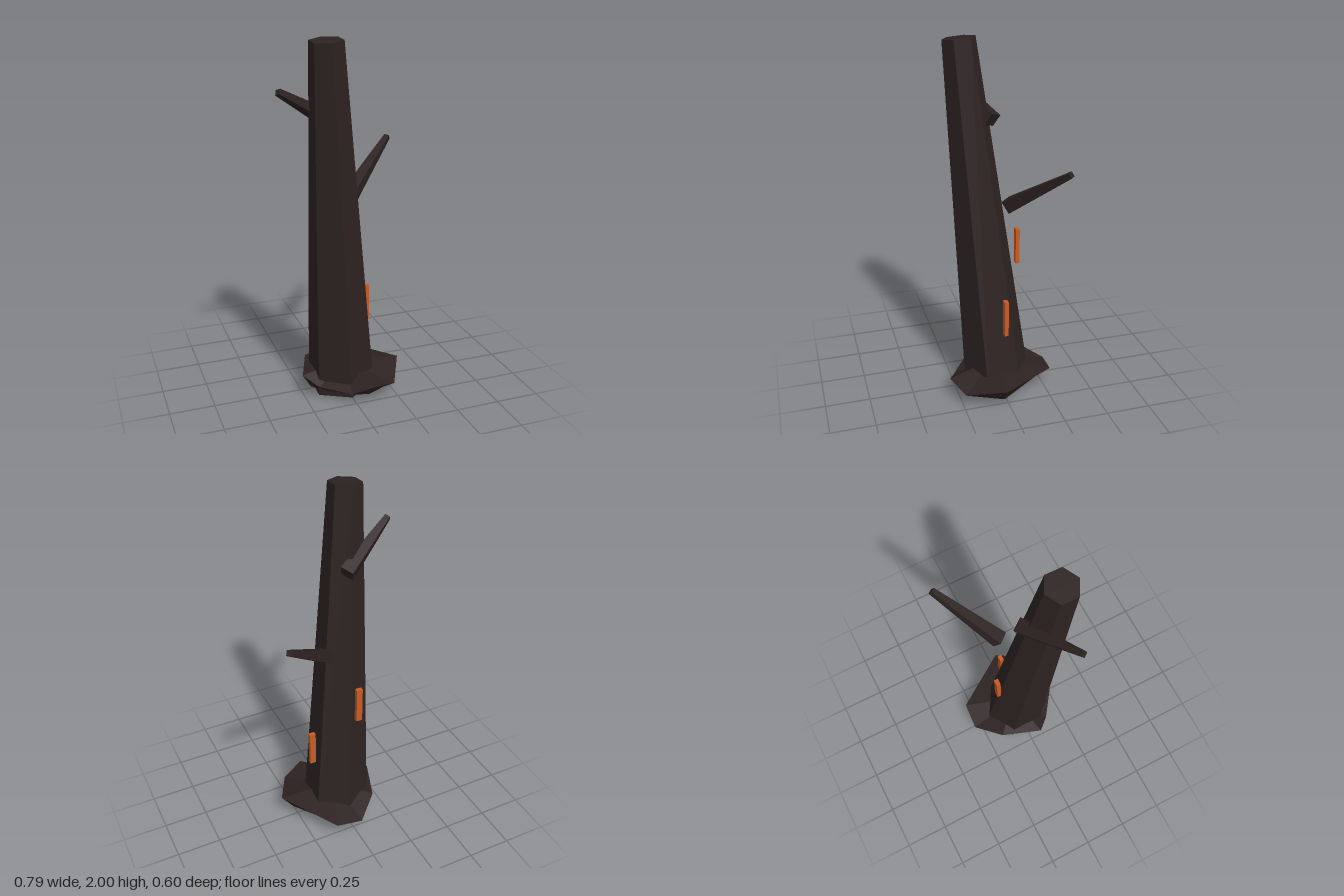
import * as THREE from 'three';

const bark = new THREE.MeshStandardMaterial({ color: 0x2d2222, flatShading: true });
bark.name = 'dark bark';
const orange = new THREE.MeshStandardMaterial({ color: 0xc95b24, flatShading: true });
orange.name = 'orange glow';

// Tapered faceted limb running between two points
function limb(name, from, to, r0, r1, sides) {
  const a = new THREE.Vector3(...from), b = new THREE.Vector3(...to);
  const dir = b.clone().sub(a);
  const mesh = new THREE.Mesh(new THREE.CylinderGeometry(r1, r0, dir.length(), sides), bark);
  mesh.position.copy(a).add(b).multiplyScalar(0.5);
  mesh.quaternion.setFromUnitVectors(new THREE.Vector3(0, 1, 0), dir.normalize());
  mesh.name = name;
  return mesh;
}

// Irregular flattened root clump: rim, smaller lower ring, two centre points
function rootGeometry() {
  const rim = [
    [0.335, 0.13, 0.035], [0.23, 0.08, 0.24], [0.095, 0.115, 0.3], [-0.025, 0.065, 0.25],
    [-0.18, 0.08, 0.14], [-0.255, 0.125, 0.06], [-0.17, 0.125, -0.17],
    [-0.03, 0.08, -0.3], [0.125, 0.1, -0.29],
  ];
  const low = rim.map(([x, y, z], i) => [x * 0.8, i > 6 ? 0.055 : 0.04, z * 0.8]);
  const top = [0.01, 0.155, 0], bottom = [0, 0.03, 0];
  const pos = [];
  rim.forEach((a, i) => {
    const j = (i + 1) % rim.length, b = rim[j];
    pos.push(...top, ...b, ...a);
    pos.push(...a, ...b, ...low[i], ...b, ...low[j], ...low[i]);
    pos.push(...bottom, ...low[i], ...low[j]);
  });
  const g = new THREE.BufferGeometry();
  g.setAttribute('position', new THREE.Float32BufferAttribute(pos, 3));
  g.computeVertexNormals();
  return g;
}

export function createModel() {
  const group = new THREE.Group();
  group.name = 'deadTree';

  // Leaning trunk and two bare branches
  group.add(limb('trunk', [-0.003, 0.02, -0.005], [-0.137, 1.992, 0.16], 0.192, 0.09, 6));
  group.add(limb('leftBranch', [0.07, 1.13, -0.05], [0.38, 1.383, -0.28], 0.052, 0.021, 4));
  group.add(limb('rightBranch', [-0.07, 1.565, 0.0], [-0.385, 1.752, 0.153], 0.052, 0.021, 4));

  // Roots
  const roots = new THREE.Mesh(rootGeometry(), bark);
  roots.name = 'roots';
  group.add(roots);

  // Upright orange slivers beside the trunk
  for (const [x, y, z] of [[0.15, 0.49, -0.013], [-0.076, 0.82, -0.144]]) {
    const sliver = new THREE.Mesh(new THREE.BoxGeometry(0.035, 0.21, 0.023), orange);
    sliver.position.set(x, y, z);
    sliver.name = 'glowingCrack';
    group.add(sliver);
  }
  return group;
}
